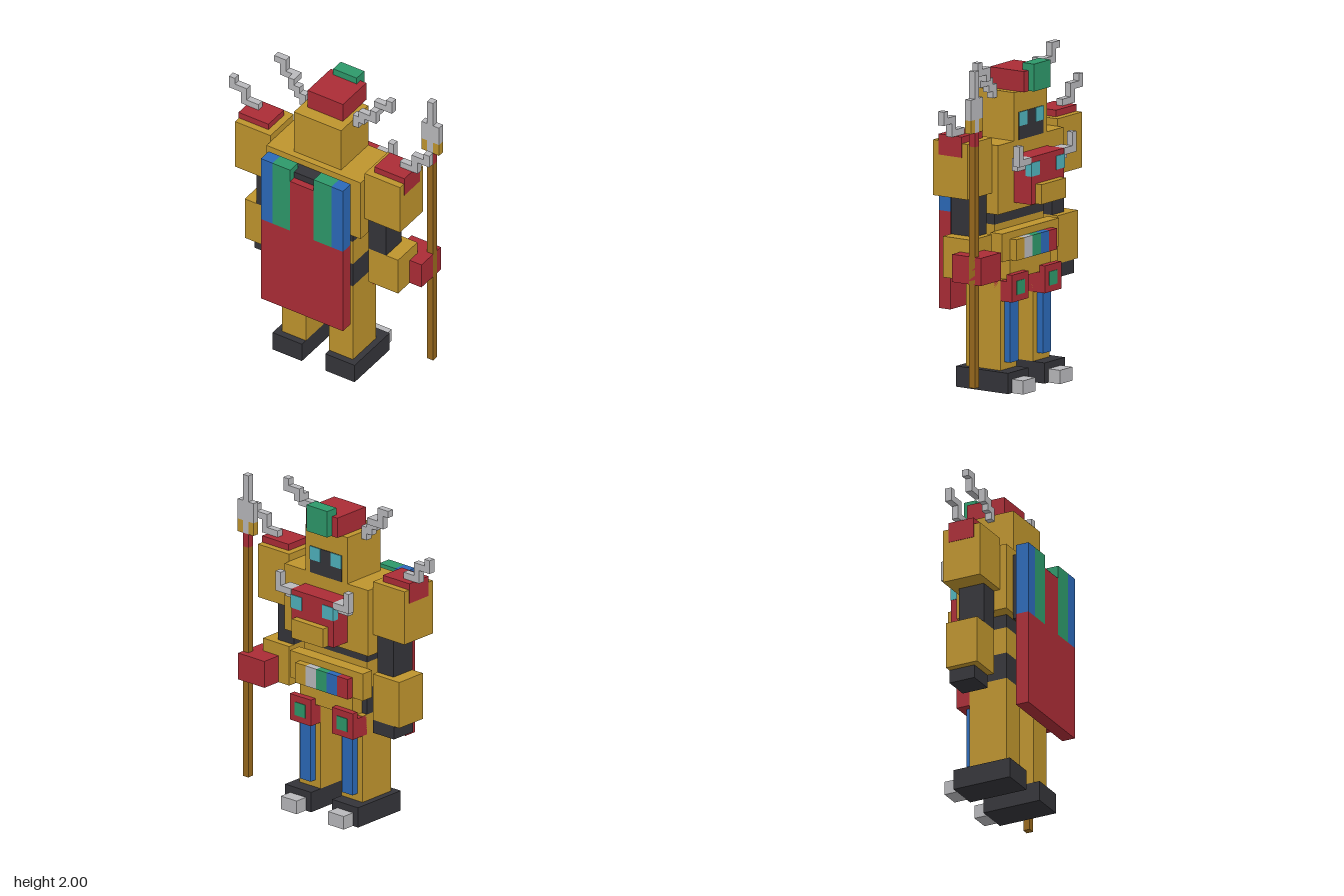
import * as THREE from 'three';

const mat = (name, color) => {
  const m = new THREE.MeshStandardMaterial({ color });
  m.name = name;
  return m;
};

export function createModel() {
  const gold = mat('gold', 0xbe942d), red = mat('red', 0xab2c36), black = mat('charcoal', 0x343439),
    grey = mat('grey', 0xb8b8bb), green = mat('green', 0x2d986a), blue = mat('blue', 0x2b69b8),
    cyan = mat('cyan', 0x4fb2bc), brown = mat('brown', 0x98691d);
  const model = new THREE.Group();
  model.name = 'blockWarrior';

  // Box from its limits on x, y and z
  const box = (name, m, x0, x1, y0, y1, z0, z1) => {
    const mesh = new THREE.Mesh(new THREE.BoxGeometry(Math.abs(x1 - x0), y1 - y0, z1 - z0), m);
    mesh.position.set((x0 + x1) / 2, (y0 + y1) / 2, (z0 + z1) / 2);
    mesh.name = name;
    model.add(mesh);
  };
  // The same box on both sides
  const pair = (name, m, x0, x1, ...rest) => {
    box(name + 'Left', m, x0, x1, ...rest);
    box(name + 'Right', m, -x1, -x0, ...rest);
  };

  // Legs and feet
  pair('foot', black, 0.083, 0.29, 0, 0.125, -0.188, 0.188);
  pair('toe', grey, 0.125, 0.25, 0, 0.083, -0.27, -0.188);
  pair('leg', gold, 0.083, 0.25, 0.125, 0.67, -0.104, 0.146);
  pair('shinStripe', blue, 0.125, 0.208, 0.17, 0.55, -0.146, -0.104);
  pair('kneePad', red, 0.083, 0.25, 0.545, 0.667, -0.15, -0.063);
  pair('kneePlate', red, 0.083, 0.25, 0.545, 0.71, -0.19, -0.15);
  pair('kneeGem', green, 0.125, 0.208, 0.585, 0.668, -0.194, -0.188);

  // Hips and belt
  box('pelvis', black, -0.25, 0.25, 0.67, 0.835, -0.063, 0.146);
  box('hips', gold, -0.25, 0.25, 0.835, 1.0, -0.063, 0.146);
  box('waist', black, -0.25, 0.25, 1.0, 1.083, -0.063, 0.146);
  box('hipPlate', gold, -0.29, 0.29, 0.79, 0.96, -0.146, -0.063);
  box('crotch', gold, -0.208, 0.208, 0.67, 0.79, -0.146, -0.063);
  [gold, grey, green, blue, red].forEach((m, i) => {
    const x = 0.208 - i * 0.0833;
    box('beltBlock' + (i + 1), m, x - 0.0833, x, 0.79, 0.917, -0.19, -0.146);
  });

  // Torso and horned chest mask
  box('torso', gold, -0.333, 0.333, 1.083, 1.5, -0.146, 0.188);
  box('chestMask', red, -0.167, 0.167, 1.13, 1.417, -0.27, -0.146);
  box('maskMouth', gold, -0.125, 0.125, 1.13, 1.25, -0.313, -0.27);
  pair('maskEye', cyan, 0.083, 0.17, 1.3, 1.383, -0.274, -0.23);
  pair('maskHornBase', grey, 0.167, 0.25, 1.34, 1.417, -0.23, -0.19);
  pair('maskHornMiddle', grey, 0.167, 0.29, 1.376, 1.417, -0.271, -0.23);
  pair('maskHornTip', grey, 0.25, 0.29, 1.417, 1.5, -0.271, -0.23);

  // Back pack and cape
  box('backPack', black, -0.25, 0.25, 1.045, 1.46, 0.188, 0.23);
  box('capeCollar', black, -0.083, 0.083, 1.05, 1.46, 0.23, 0.27);
  box('cape', red, -0.29, 0.29, 0.46, 1.05, 0.23, 0.313);
  box('capeCenter', red, -0.083, 0.083, 1.05, 1.417, 0.27, 0.313);
  pair('capeGreenStripe', green, 0.083, 0.208, 1.05, 1.5, 0.23, 0.313);
  pair('capeBlueStripe', blue, 0.208, 0.29, 1.05, 1.5, 0.23, 0.313);

  // Arms
  pair('shoulder', gold, 0.333, 0.583, 1.21, 1.545, -0.104, 0.146);
  pair('shoulderPad', red, 0.375, 0.583, 1.545, 1.585, -0.063, 0.104);
  pair('shoulderPadSide', red, 0.58, 0.586, 1.46, 1.585, -0.063, 0.104);
  pair('shoulderHornBase', grey, 0.5, 0.625, 1.585, 1.625, -0.021, 0.021);
  pair('shoulderHornStep', grey, 0.583, 0.625, 1.625, 1.667, -0.021, 0.021);
  pair('shoulderHornMiddle', grey, 0.583, 0.708, 1.667, 1.708, -0.021, 0.021);
  pair('shoulderHornTip', grey, 0.667, 0.708, 1.708, 1.75, -0.021, 0.021);
  pair('upperArm', black, 0.333, 0.458, 0.96, 1.21, -0.063, 0.104);
  box('forearmRight', gold, -0.542, -0.333, 0.67, 0.96, -0.104, 0.104);
  box('handRight', black, -0.5, -0.333, 0.588, 0.67, -0.104, 0.063);
  box('forearmLeft', gold, 0.333, 0.542, 0.713, 0.96, -0.104, 0.104);
  box('handLeft', red, 0.417, 0.625, 0.713, 0.88, -0.23, -0.021);

  // Head with visor and helmet
  box('head', gold, -0.167, 0.167, 1.46, 1.792, -0.146, 0.146);
  box('visor', black, -0.125, 0.125, 1.5, 1.667, -0.15, -0.144);
  pair('eye', cyan, 0.042, 0.125, 1.583, 1.667, -0.154, -0.148);
  box('helmet', red, -0.125, 0.125, 1.792, 1.917, -0.188, 0.063);
  box('helmetCrest', green, -0.083, 0.083, 1.795, 1.96, -0.23, -0.148);

  // Head horns, slightly different on each side: [x0, x1, y0, y1, bent forward]
  const horns = {
    Right: [[-0.208, -0.167, 1.75, 1.833, 0], [-0.25, -0.167, 1.792, 1.833, 0], [-0.29, -0.208, 1.833, 1.875, 0],
      [-0.29, -0.25, 1.875, 1.917, 0], [-0.375, -0.25, 1.875, 1.917, 1], [-0.375, -0.333, 1.917, 2, 1],
      [-0.417, -0.375, 1.958, 2, 1]],
    Left: [[0.167, 0.208, 1.75, 1.833, 0], [0.208, 0.25, 1.792, 1.833, 0], [0.208, 0.333, 1.833, 1.875, 0],
      [0.29, 0.333, 1.875, 1.917, 0], [0.29, 0.333, 1.875, 1.958, 1], [0.333, 0.417, 1.917, 1.958, 1],
      [0.375, 0.417, 1.958, 2, 1]],
  };
  for (const side in horns) horns[side].forEach(([x0, x1, y0, y1, bent], i) => {
    const z = bent ? -0.042 : 0;
    box('headHorn' + side + (i + 1), grey, x0, x1, y0, y1, z - 0.021, z + 0.021);
  });

  // Staff with spear head
  const staff = (name, m, x0, x1, y0, y1) => box(name, m, x0, x1, y0, y1, -0.188, -0.146);
  staff('staffShaft', brown, 0.583, 0.625, 0.09, 1.545);
  staff('staffCollar', red, 0.583, 0.625, 1.545, 1.63);
  staff('spearCore', grey, 0.583, 0.625, 1.63, 1.71);
  staff('spearGuardInner', gold, 0.542, 0.583, 1.63, 1.71);
  staff('spearGuardOuter', gold, 0.625, 0.667, 1.63, 1.71);
  staff('spearBlade', grey, 0.542, 0.667, 1.71, 1.835);
  staff('spearTip', grey, 0.583, 0.625, 1.835, 2);

  return model;
}
